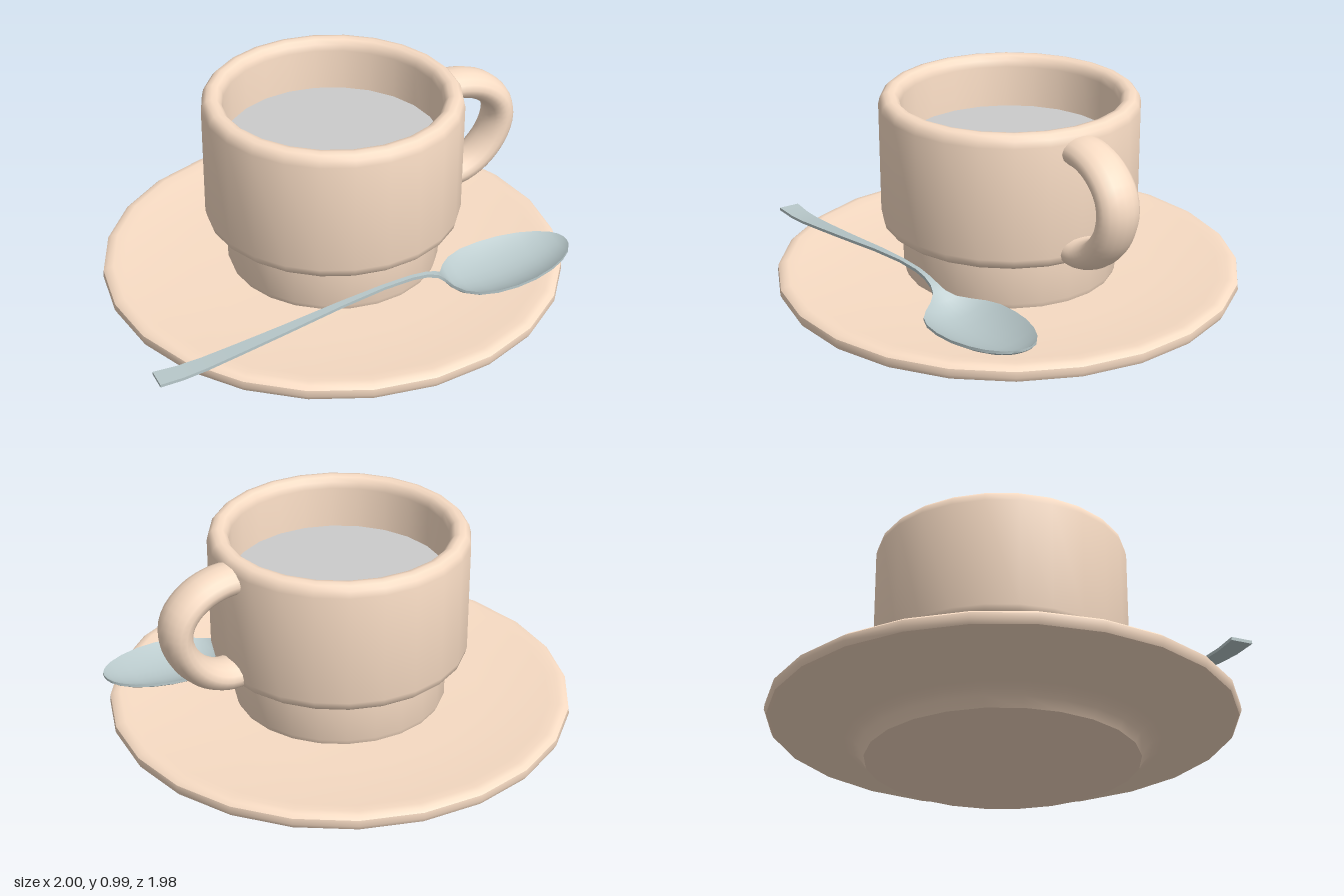
import * as THREE from 'three';
import { toCreasedNormals } from 'three/addons/utils/BufferGeometryUtils.js';

const SIDES = 24;
const CREASE = 0.7;

const china = new THREE.MeshStandardMaterial({ color: 0xf8dcc4 });
const metal = new THREE.MeshStandardMaterial({ color: 0xb8c8ca, side: THREE.DoubleSide });
const grey = new THREE.MeshStandardMaterial({ color: 0xcccccc });

function addMesh(group, name, geometry, material) {
  const mesh = new THREE.Mesh(geometry, material);
  mesh.name = name;
  group.add(mesh);
  return mesh;
}

// Turned part from a profile of [radius, height] pairs
function turned(profile) {
  const points = profile.map(([r, y]) => new THREE.Vector2(r, y));
  return toCreasedNormals(new THREE.LatheGeometry(points, SIDES), CREASE);
}

// Spoon loft: each station is [x, z centre, half width, rim height, dish depth, thickness]
function spoonGeometry(stations, across = 12) {
  const positions = [], index = [], ring = 2 * (across + 1);
  for (const [x, zc, half, rim, depth, thick] of stations) {
    for (let j = 0; j < ring; j++) {
      const top = j <= across;
      const a = ((top ? j : ring - 1 - j) / across) * Math.PI;
      const t = -Math.cos(a);
      const y = rim - depth * (1 - t * t) - (top ? 0 : thick);
      positions.push(x, y, zc + t * half);
    }
  }
  for (let i = 0; i < stations.length - 1; i++) {
    for (let j = 0; j < ring; j++) {
      const a = i * ring + j, c = i * ring + ((j + 1) % ring);
      index.push(a, c, a + ring, c, c + ring, a + ring);
    }
  }
  // End caps
  const last = (stations.length - 1) * ring;
  for (let j = 1; j < ring - 1; j++) {
    index.push(0, j + 1, j, last, last + j, last + j + 1);
  }
  const geometry = new THREE.BufferGeometry();
  geometry.setAttribute('position', new THREE.Float32BufferAttribute(positions, 3));
  geometry.setIndex(index);
  return toCreasedNormals(geometry, CREASE);
}

export function createModel() {
  const model = new THREE.Group();
  model.name = 'cupAndSaucer';

  // Saucer with a flat foot, sloping underside and rounded rim
  const saucer = addMesh(model, 'saucer', turned([
    [0, 0], [0.575, 0], [0.6, 0.04], [0.625, 0.062], [0.66, 0.077], [0.955, 0.15],
    [0.98, 0.16], [0.99, 0.18], [0.987, 0.205], [0.97, 0.218], [0.945, 0.221],
    [0.9, 0.214], [0.6, 0.196], [0, 0.19],
  ]), china);
  saucer.position.x = 0.005;

  const cup = new THREE.Group();
  cup.name = 'cup';
  cup.position.set(0.01, 0, -0.005);
  model.add(cup);

  // Cup body: narrow foot, stepped shoulder, rounded rim, hollow inside
  addMesh(cup, 'cupBody', turned([
    [0, 0.194], [0.425, 0.194], [0.447, 0.203], [0.455, 0.225], [0.455, 0.408],
    [0.49, 0.41], [0.52, 0.416], [0.538, 0.432], [0.545, 0.46], [0.545, 0.935],
    [0.538, 0.963], [0.522, 0.98], [0.5, 0.985], [0.478, 0.98], [0.462, 0.963],
    [0.456, 0.935], [0.456, 0.46], [0.4, 0.42], [0.4, 0.25], [0, 0.25],
  ]), china);

  // Drink surface
  const drink = addMesh(cup, 'drink', new THREE.CircleGeometry(0.457, SIDES), grey);
  drink.rotation.x = -Math.PI / 2;
  drink.position.y = 0.755;

  // Handle: a tube widened sideways
  const path = new THREE.CatmullRomCurve3([
    [0.49, 0.895], [0.59, 0.893], [0.69, 0.86], [0.765, 0.79], [0.785, 0.71],
    [0.755, 0.61], [0.68, 0.52], [0.59, 0.473], [0.49, 0.465],
  ].map(([x, y]) => new THREE.Vector3(x, y, 0)));
  const handle = addMesh(cup, 'handle', new THREE.TubeGeometry(path, 28, 0.062, 16), china);
  handle.scale.z = 1.5;

  // Spoon: flat tapering handle, arched neck, dished bowl
  addMesh(model, 'spoon', spoonGeometry([
    [-1, 0.565, 0.045, 0.227, 0, 0.013],
    [-0.9, 0.56, 0.041, 0.224, 0, 0.013],
    [-0.8, 0.555, 0.037, 0.231, 0, 0.013],
    [-0.65, 0.549, 0.031, 0.252, 0, 0.013],
    [-0.45, 0.54, 0.024, 0.281, 0, 0.013],
    [-0.2, 0.526, 0.016, 0.318, 0, 0.013],
    [0, 0.515, 0.011, 0.341, 0, 0.013],
    [0.13, 0.51, 0.01, 0.348, 0, 0.014],
    [0.2, 0.508, 0.011, 0.343, 0, 0.015],
    [0.25, 0.503, 0.016, 0.326, 0, 0.016],
    [0.28, 0.497, 0.028, 0.302, 0.002, 0.016],
    [0.305, 0.492, 0.06, 0.278, 0.012, 0.014],
    [0.34, 0.488, 0.105, 0.268, 0.032, 0.012],
    [0.39, 0.486, 0.145, 0.269, 0.048, 0.012],
    [0.46, 0.486, 0.17, 0.275, 0.06, 0.012],
    [0.55, 0.485, 0.177, 0.281, 0.064, 0.012],
    [0.64, 0.483, 0.17, 0.288, 0.06, 0.012],
    [0.73, 0.48, 0.147, 0.295, 0.05, 0.012],
    [0.8, 0.478, 0.115, 0.301, 0.035, 0.012],
    [0.85, 0.476, 0.077, 0.306, 0.018, 0.012],
    [0.875, 0.475, 0.042, 0.309, 0.007, 0.011],
    [0.883, 0.475, 0.014, 0.31, 0.001, 0.01],
  ]), metal);

  return model;
}
